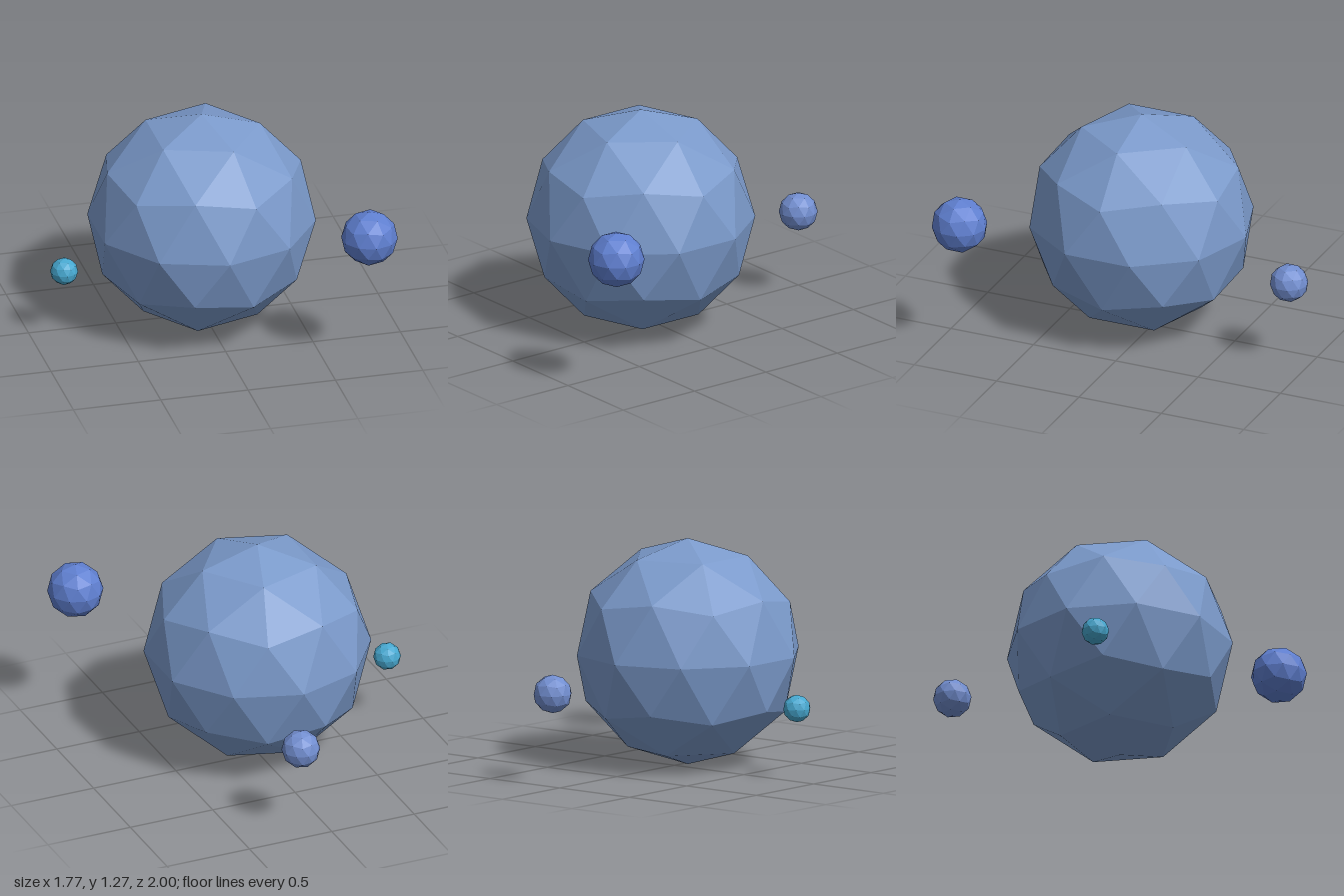
import * as THREE from 'three';

// Faceted 80-sided ball, turned so that one corner points straight up
function facetedBall(name, radius, color, x, y, z) {
  const geometry = new THREE.IcosahedronGeometry(radius, 1);
  geometry.rotateX(-Math.atan((1 + Math.sqrt(5)) / 2));
  geometry.rotateY(Math.PI / 2);
  const material = new THREE.MeshStandardMaterial({ color, flatShading: true });
  const mesh = new THREE.Mesh(geometry, material);
  mesh.name = name;
  mesh.position.set(x, y, z);
  return mesh;
}

export function createModel() {
  const model = new THREE.Group();
  model.name = 'planetWithMoons';
  model.add(
    // central planet
    facetedBall('planet', 0.635, 0x7b9acb, -0.03, 0.635, 0.08),
    // three moons around it
    facetedBall('largeMoon', 0.157, 0x5f7fd0, 0.735, 0.778, 0.843),
    facetedBall('mediumMoon', 0.108, 0x728ed0, 0.14, 0.5, -0.892),
    facetedBall('smallMoon', 0.077, 0x47a8d0, -0.816, 0.395, 0.077),
  );
  return model;
}
